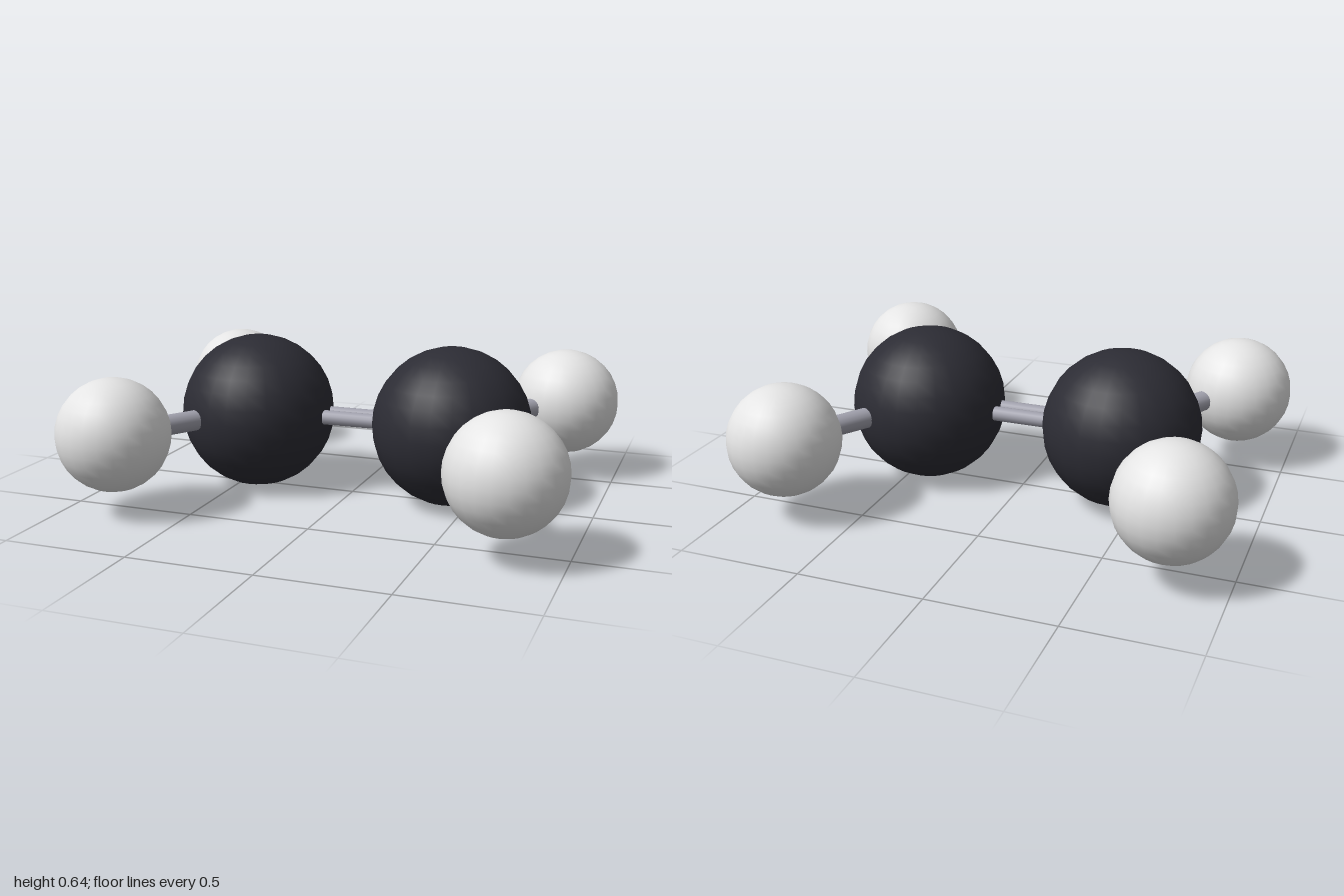
import * as THREE from 'three';

const material = (name, color) => {
  const m = new THREE.MeshStandardMaterial({ color });
  m.name = name;
  return m;
};

export function createModel() {
  const model = new THREE.Group();
  model.name = 'ballAndStickMolecule';
  const charcoal = material('charcoal', 0x2c2c34);
  const white = material('white', 0xe4e4e4);
  const grey = material('bond grey', 0xa2a2ae);
  const Y = 0.32;

  const atom = (name, radius, mat, position) => {
    const mesh = new THREE.Mesh(new THREE.SphereGeometry(radius, 24, 16), mat);
    mesh.name = name;
    mesh.position.copy(position);
    model.add(mesh);
  };

  // Cylinder running between two points
  const bond = (name, radius, a, b) => {
    const dir = b.clone().sub(a);
    const mesh = new THREE.Mesh(new THREE.CylinderGeometry(radius, radius, dir.length(), 16), grey);
    mesh.name = name;
    mesh.position.copy(a).add(b).multiplyScalar(0.5);
    mesh.quaternion.setFromUnitVectors(new THREE.Vector3(0, 1, 0), dir.normalize());
    model.add(mesh);
  };

  // Each large atom carries two small ones on angled bonds
  for (const [sx, side] of [[1, 'left'], [-1, 'right']]) {
    const carbon = new THREE.Vector3(sx * 0.422, Y, 0);
    atom(side + 'CarbonAtom', 0.32, charcoal, carbon);
    for (const [sz, end] of [[1, 'Front'], [-1, 'Back']]) {
      const hydrogen = new THREE.Vector3(sx * 0.776, Y + 0.003, sz * 0.587);
      atom(side + end + 'HydrogenAtom', 0.224, white, hydrogen);
      bond(side + end + 'SingleBond', 0.042, carbon, hydrogen);
    }
  }

  // Double bond: two thin parallel rods
  for (const [sz, end] of [[1, 'front'], [-1, 'back']]) {
    bond(end + 'DoubleBondRod', 0.03,
      new THREE.Vector3(-0.42, Y, sz * 0.036), new THREE.Vector3(0.42, Y, sz * 0.036));
  }
  return model;
}
